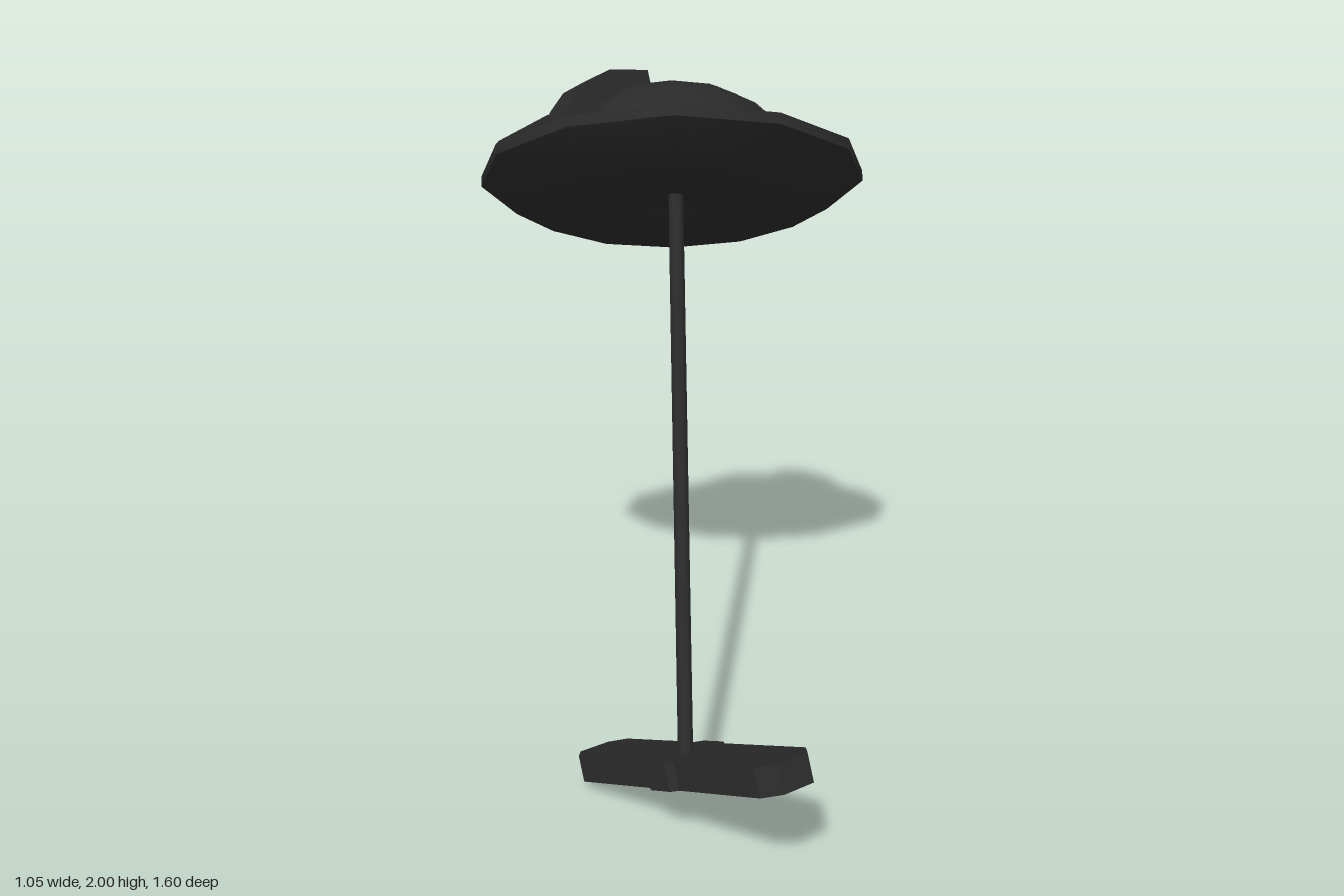
import * as THREE from 'three';
import { toCreasedNormals } from 'three/addons/utils/BufferGeometryUtils.js';

const V = (x, y, z) => new THREE.Vector3(x, y, z);
const points = (list) => list.map(([x, y]) => new THREE.Vector2(x, y));

// Turn an object so that its local y and z follow the given directions
function orient(object, up, forward) {
  const y = up.clone().normalize();
  const x = y.clone().cross(forward).normalize();
  const z = x.clone().cross(y);
  object.quaternion.setFromRotationMatrix(new THREE.Matrix4().makeBasis(x, y, z));
}

export function createModel() {
  const model = new THREE.Group();
  const dark = new THREE.MeshStandardMaterial({ color: 0x2a2a2a });
  dark.name = 'darkGrey';

  const add = (name, geometry, parent) => {
    const mesh = new THREE.Mesh(geometry, dark);
    mesh.name = name;
    parent.add(mesh);
    return mesh;
  };

  // Flat handle bar with clipped corners and a slight swelling in the middle
  const right = [[0.05, -0.465], [0.088, -0.415], [0.088, -0.07], [0.103, -0.045],
    [0.103, 0.045], [0.088, 0.07], [0.088, 0.415], [0.05, 0.465]];
  const outline = [...right, ...right.map(([x, y]) => [-x, -y])];
  const barGeometry = new THREE.ExtrudeGeometry(new THREE.Shape(points(outline)),
    { depth: 0.077, bevelEnabled: false });
  barGeometry.translate(0, 0, -0.0385);
  barGeometry.rotateX(-Math.PI / 2);
  const bar = add('handleBar', barGeometry, model);
  bar.position.set(-0.337, 0.248, 0.364);
  orient(bar, V(0.01, 0.898, -0.44), V(0.19, 0.43, 0.88));

  // Thin leaning stick
  const from = V(-0.34, 0.25, 0.36), to = V(0, 1.69, -0.3);
  const stick = add('stick',
    new THREE.CylinderGeometry(0.022, 0.022, from.distanceTo(to), 8), model);
  stick.position.copy(from).lerp(to, 0.5);
  stick.quaternion.setFromUnitVectors(V(0, 1, 0), to.clone().sub(from).normalize());

  // Tilted head
  const head = new THREE.Group();
  head.name = 'head';
  head.position.set(0, 1.7, -0.315);
  orient(head, V(0.225, 0.862, -0.455), V(-0.396, 0.486, 0.78));
  model.add(head);

  // Twelve-sided brim with a hollow underside
  const brim = new THREE.LatheGeometry(points([[0, -0.045], [0.12, -0.06], [0.27, -0.095],
    [0.41, -0.085], [0.54, -0.012], [0.54, 0.018], [0.32, 0.055], [0, 0.055]]), 12);
  add('brim', toCreasedNormals(brim, 0.6), head);

  // Rounded crown
  const crown = new THREE.LatheGeometry(points([[0.325, 0.03], [0.32, 0.09], [0.285, 0.15],
    [0.21, 0.21], [0.11, 0.243], [0, 0.252]]), 12);
  add('crown', crown, head);

  // Two nearly opposite arms hugging the crown, each on a flared foot
  const armProfile = points([[0.3, 0.04], [0.4, 0.04], [0.38, 0.13], [0.335, 0.195],
    [0.25, 0.25], [0.12, 0.28], [0.105, 0.22], [0.2, 0.19], [0.27, 0.12]]);
  for (const [name, angle] of [['leftArm', 0.46], ['rightArm', 0.66 + Math.PI]]) {
    const arm = new THREE.Group();
    arm.name = name;
    arm.rotation.y = angle;
    head.add(arm);

    const band = new THREE.ExtrudeGeometry(new THREE.Shape(armProfile),
      { depth: 0.1, bevelEnabled: false });
    band.translate(0, 0, -0.05);
    add('armBand', toCreasedNormals(band, 0.6), arm);

    // Foot: a box that widens and sinks towards the rim
    const foot = new THREE.BoxGeometry(1, 1, 1);
    const p = foot.attributes.position;
    for (let i = 0; i < p.count; i++) {
      const outer = p.getX(i) > 0, top = p.getY(i) > 0;
      const width = outer ? (top ? 0.24 : 0.3) : (top ? 0.13 : 0.2);
      p.setXYZ(i, outer ? 0.5 : 0.34, top ? (outer ? 0.045 : 0.115) : 0.015, p.getZ(i) * width);
    }
    foot.computeVertexNormals();
    add('armFoot', foot, arm);
  }

  return model;
}
